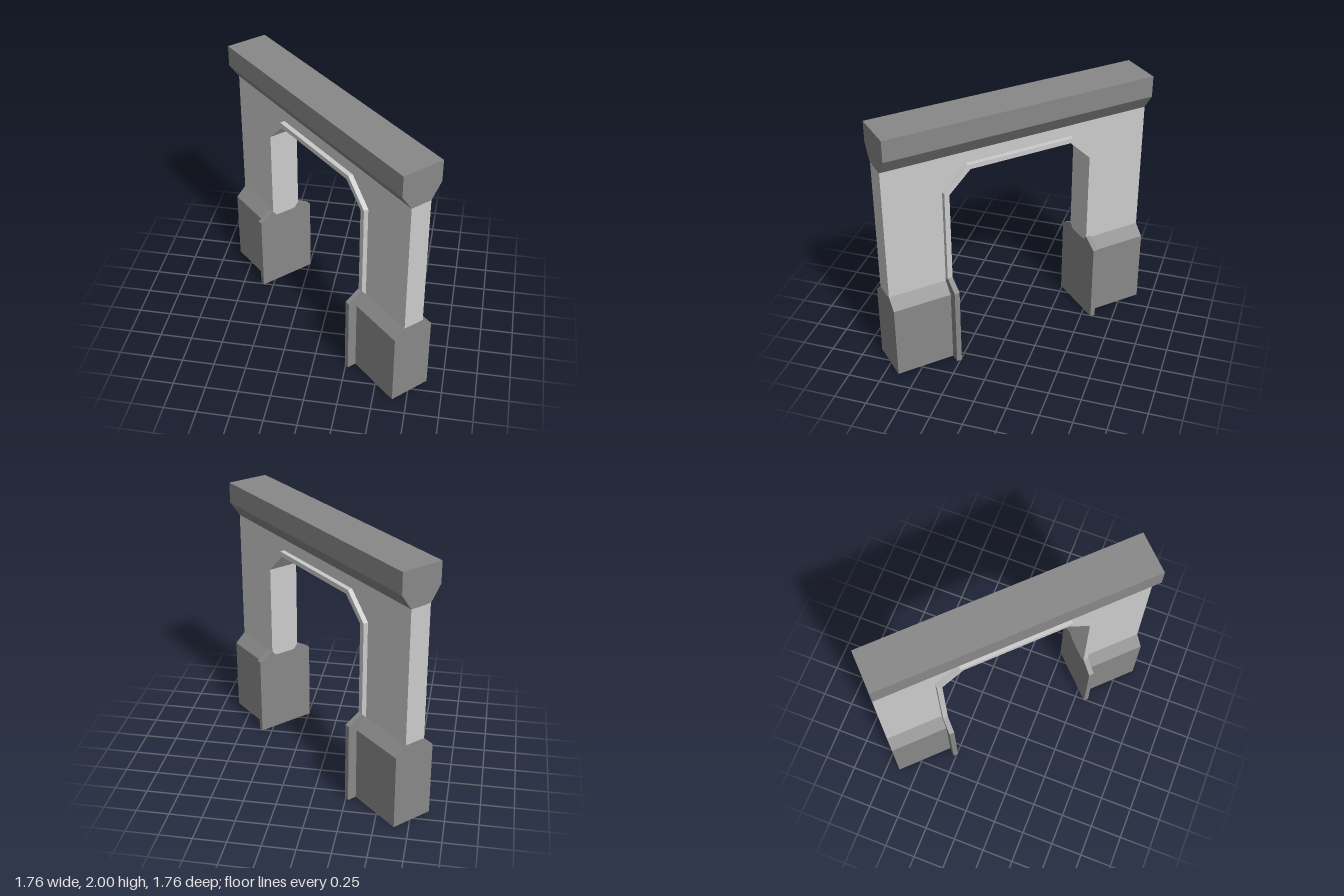
import * as THREE from 'three';

const HALF_LENGTH = 1.077;
const INNER = 0.58, OUTER = 0.62; // faces of the arch lining

const light = new THREE.MeshStandardMaterial({ color: 0xcccccc, flatShading: true });
const dark = new THREE.MeshStandardMaterial({ color: 0x888888, flatShading: true });

const shapeOf = (pts) => new THREE.Shape(pts.map(([x, y]) => new THREE.Vector2(x, y)));
const mirrored = (half) => [...half, ...half.map(([x, y]) => [-x, y]).reverse()];

// Elevation outline, given as its right half, extruded through the thickness
function slab(name, half, halfDepth, material) {
  const geo = new THREE.ExtrudeGeometry(shapeOf(mirrored(half)), { depth: halfDepth * 2, bevelEnabled: false });
  geo.translate(0, 0, -halfDepth);
  const mesh = new THREE.Mesh(geo, material);
  mesh.name = name;
  return mesh;
}

// Cross-section, given as its right half, extruded along the wall from a to b
function prism(name, half, a, b, material) {
  const geo = new THREE.ExtrudeGeometry(shapeOf(mirrored(half)), { depth: b - a, bevelEnabled: false });
  geo.rotateY(Math.PI / 2);
  geo.translate(a, 0, 0);
  const mesh = new THREE.Mesh(geo, material);
  mesh.name = name;
  return mesh;
}

export function createModel() {
  const gate = new THREE.Group();
  gate.name = 'archway';

  // Wall with the arched opening, its edge hidden inside the lining
  gate.add(slab('wall', [
    [0.42, 1.608], [0.6, 1.431], [0.6, 0.66],
    [HALF_LENGTH, 0.66], [HALF_LENGTH, 1.72],
  ], 0.083, light));

  // Lining that stands proud around the opening
  gate.add(slab('archLining', [
    [0.41, 1.588], [INNER, 1.422], [INNER, 0.71],
    [OUTER, 0.71], [OUTER, 1.437], [0.432, 1.625],
  ], 0.121, light));

  // Cap beam with a sloped underside
  gate.add(prism('capBeam', [[0.083, 1.715], [0.166, 1.835], [0.166, 2]],
    -HALF_LENGTH, HALF_LENGTH, dark));

  for (const side of [1, -1]) {
    const span = (a, b) => (side > 0 ? [a, b] : [-b, -a]);
    const prefix = side > 0 ? 'left' : 'right';

    // Pier base with chamfered shoulders
    gate.add(prism(prefix + 'Base', [[0.166, 0], [0.166, 0.588], [0.083, 0.667]],
      ...span(0.6, HALF_LENGTH), dark));

    // Jamb plate that flares beyond the base, notched at the top
    gate.add(prism(prefix + 'JambPlate',
      [[0.238, 0], [0.238, 0.64], [0.121, 0.71], [0.086, 0.667]],
      ...span(INNER, OUTER), dark));

    // Foot of the lining seated in the notch
    gate.add(prism(prefix + 'LiningFoot', [[0.086, 0.667], [0.121, 0.71]],
      ...span(INNER, OUTER), light));
  }

  // The wall runs diagonally
  gate.rotation.y = -Math.PI / 4;
  const model = new THREE.Group();
  model.add(gate);
  return model;
}
